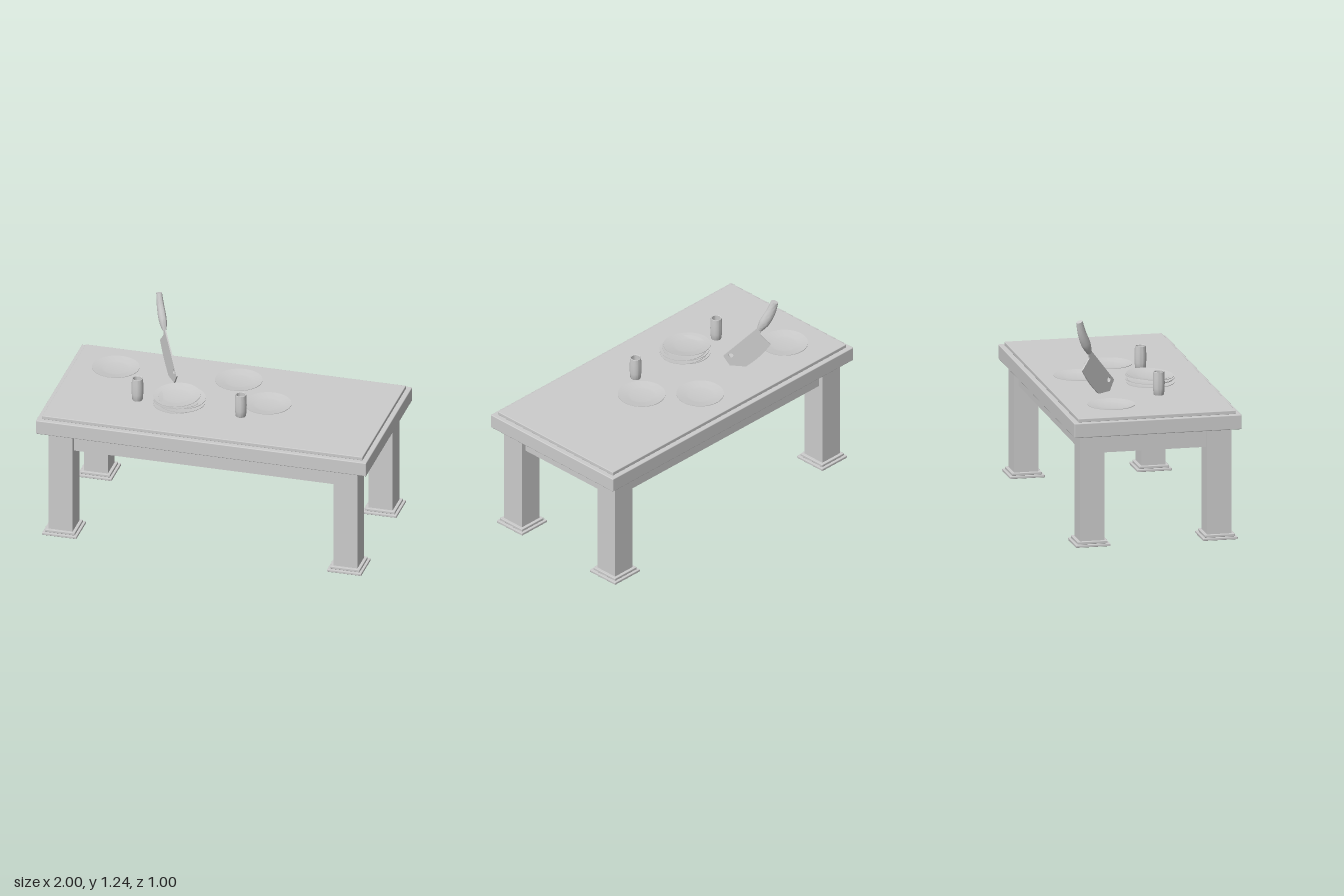
import * as THREE from 'three';
import { RoundedBoxGeometry } from 'three/addons/geometries/RoundedBoxGeometry.js';
import { toCreasedNormals } from 'three/addons/utils/BufferGeometryUtils.js';

const material = new THREE.MeshStandardMaterial({ color: 0xcccccc });
const thinMaterial = new THREE.MeshStandardMaterial({ color: 0xcccccc, side: THREE.DoubleSide });
const TOP = 0.775; // height of the table surface

function add(parent, name, geometry, x = 0, y = 0, z = 0, mat = material) {
  const mesh = new THREE.Mesh(geometry, mat);
  mesh.name = name;
  mesh.position.set(x, y, z);
  parent.add(mesh);
  return mesh;
}

// Box given by its bottom height
function box(parent, name, w, h, d, x, y, z, radius = 0) {
  const geometry = radius ? new RoundedBoxGeometry(w, h, d, 2, radius) : new THREE.BoxGeometry(w, h, d);
  return add(parent, name, geometry, x, y + h / 2, z);
}

function lathe(points, segments) {
  const profile = points.map(([r, y]) => new THREE.Vector2(r, y));
  return toCreasedNormals(new THREE.LatheGeometry(profile, segments), 0.6);
}

function buildTable() {
  const table = new THREE.Group();
  table.name = 'table';
  box(table, 'tableSlab', 2, 0.087, 1, 0, 0.667, 0, 0.005);
  box(table, 'topPanel', 1.94, 0.023, 0.94, 0, 0.752, 0, 0.004);
  for (const sx of [-1, 1]) {
    for (const sz of [-1, 1]) {
      const x = sx * 0.862, z = sz * 0.38;
      box(table, 'leg', 0.145, 0.64, 0.145, x, 0.03, z);
      box(table, 'footStep', 0.18, 0.016, 0.18, x, 0.015, z, 0.003);
      box(table, 'footBase', 0.208, 0.015, 0.208, x, 0, z, 0.003);
    }
    box(table, 'sideRail', 0.09, 0.12, 0.64, sx * 0.862, 0.55, 0);
  }
  for (const sz of [-1, 1]) box(table, 'longRail', 1.6, 0.12, 0.09, 0, 0.55, sz * 0.38);
  return table;
}

function buildPlates() {
  const plates = new THREE.Group();
  plates.name = 'plates';
  const geometry = lathe([
    [0, 0], [0.07, 0], [0.085, 0.003], [0.139, 0.013],
    [0.139, 0.016], [0.085, 0.007], [0.07, 0.005], [0, 0.005],
  ], 48);
  for (const [x, z] of [[-0.715, -0.215], [0.02, -0.25], [0.262, -0.01]]) {
    add(plates, 'plate', geometry, x, TOP, z, thinMaterial);
  }
  // Untidy stack: x, z, height, tilt about x, tilt about z
  const stack = [
    [-0.25, 0.125, 0.001, 0, 0],
    [-0.222, 0.123, 0.014, 0.02, -0.02],
    [-0.245, 0.13, 0.027, -0.04, 0.03],
    [-0.22, 0.122, 0.039, 0.03, -0.03],
    [-0.25, 0.122, 0.05, 0.06, 0.03],
  ];
  for (const [x, z, y, rx, rz] of stack) {
    add(plates, 'stackedPlate', geometry, x, TOP + y, z, thinMaterial).rotation.set(rx, 0, rz);
  }
  return plates;
}

function buildCups() {
  const cups = new THREE.Group();
  cups.name = 'cups';
  const geometry = lathe([
    [0, 0], [0.029, 0], [0.031, 0.004], [0.034, 0.04], [0.035, 0.07], [0.034, 0.105], [0.032, 0.138],
    [0.03, 0.14], [0.026, 0.138], [0.028, 0.07], [0.026, 0.012], [0, 0.01],
  ], 32);
  for (const [x, z] of [[-0.49, 0.12], [0.145, 0.155]]) add(cups, 'cup', geometry, x, TOP, z, thinMaterial);
  return cups;
}

// Drawn in a vertical plane: local x runs along the blade, local z is its thickness
function buildCleaver() {
  const cleaver = new THREE.Group();
  cleaver.name = 'cleaver';

  const outline = new THREE.Shape();
  outline.moveTo(0, 0.836);
  outline.lineTo(0.042, 0.768);
  outline.lineTo(0.133, 0.775);
  outline.quadraticCurveTo(0.225, 0.85, 0.278, 0.94);
  outline.lineTo(0.218, 1.002);
  outline.lineTo(0.226, 1.045);
  outline.lineTo(0.2, 1.045);
  outline.closePath();
  const hole = new THREE.Path();
  hole.absellipse(0.046, 0.844, 0.014, 0.014, 0, Math.PI * 2, true);
  outline.holes.push(hole);
  const blade = new THREE.ExtrudeGeometry(outline, { depth: 0.008, bevelEnabled: false, curveSegments: 12 });
  blade.translate(0, 0, -0.004);
  add(cleaver, 'blade', blade);

  // Handle: oval sections swept along a bent centre line
  const path = new THREE.CatmullRomCurve3([
    [0.212, 1.035], [0.243, 1.09], [0.28, 1.165], [0.303, 1.237],
  ].map(([x, y]) => new THREE.Vector3(x, y, 0)));
  const rows = 16;
  const widths = [0.016, 0.025, 0.031, 0.031, 0.028, 0.025, 0.022];
  const handle = new THREE.CylinderGeometry(1, 1, 1, 20, rows);
  const p = handle.attributes.position;
  for (let i = 0; i < p.count; i++) {
    const t = THREE.MathUtils.clamp(p.getY(i) + 0.5, 0, 1);
    const k = Math.min(Math.floor(t * 6), 5);
    const width = THREE.MathUtils.lerp(widths[k], widths[k + 1], t * 6 - k);
    const c = path.getPoint(t), d = path.getTangent(t);
    const a = p.getX(i) * width;
    p.setXYZ(i, c.x + d.y * a, c.y - d.x * a, p.getZ(i) * width * 0.75);
  }
  add(cleaver, 'handle', toCreasedNormals(handle, 0.8));

  cleaver.position.set(-0.315, 0, -0.11);
  cleaver.rotation.y = Math.atan2(0.81, -0.585);
  return cleaver;
}

export function createModel() {
  const model = new THREE.Group();
  model.name = 'diningTable';
  model.add(buildTable(), buildPlates(), buildCups(), buildCleaver());
  return model;
}
